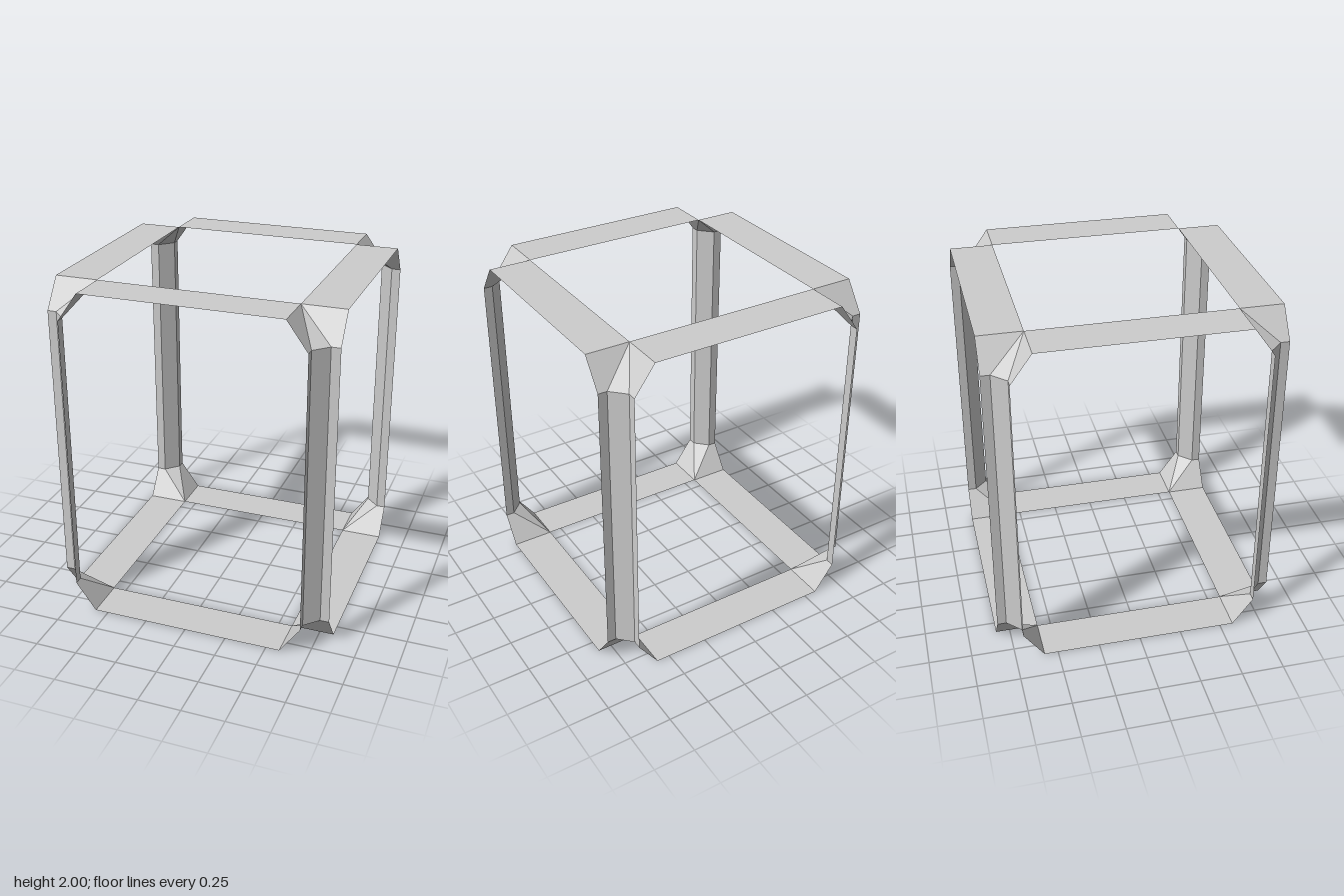
import * as THREE from 'three';

const OUT = 0.833, IN = 0.58;      // outer and inner edge of the flat frame strips
const NEAR = 0.70, FAR = 0.78;     // notch of the folded posts
const H = 2, GUSSET = 0.167;       // total height, height of the corner gussets

// Flat-shaded sheet from convex polygons, each a list of [x, y, z] corners
function sheet(name, polygons, material) {
  const pos = [];
  for (const p of polygons)
    for (let i = 1; i < p.length - 1; i++) pos.push(...p[0], ...p[i], ...p[i + 1]);
  const geometry = new THREE.BufferGeometry();
  geometry.setAttribute('position', new THREE.Float32BufferAttribute(pos, 3));
  geometry.computeVertexNormals();
  const mesh = new THREE.Mesh(geometry, material);
  mesh.name = name;
  return mesh;
}

// Mirror top polygons to the bottom, keeping the outside facing out
const flip = (polygons) =>
  polygons.map((p) => p.map(([x, y, z]) => [x, H - y, z]).reverse());

export function createModel() {
  const model = new THREE.Group();
  model.name = 'openFrame';
  const grey = new THREE.MeshStandardMaterial({ color: 0xcccccc, side: THREE.DoubleSide });
  grey.name = 'light grey';

  // Open post section at one corner, folded inwards
  const section = [[OUT, NEAR], [FAR, NEAR], [NEAR, FAR], [NEAR, OUT]];
  const low = section.map(([x, z]) => [x, GUSSET, z]);
  const high = section.map(([x, z]) => [x, H - GUSSET, z]);
  const post = [0, 1, 2].map((i) => [low[i + 1], low[i], high[i], high[i + 1]]);

  // Gusset from the post's end up to the strips
  const inner = [IN, H, IN];
  const gusset = [
    [high[1], high[0], [OUT, H, IN], inner],
    [high[2], high[1], inner],
    [high[3], high[2], inner, [IN, H, OUT]],
  ];

  // Flat strip along one side
  const strip = [[[-IN, H, IN], [-IN, H, OUT], [IN, H, OUT], [IN, H, IN]]];

  for (let i = 0; i < 4; i++) {
    const side = new THREE.Group();
    side.name = 'side' + (i + 1);
    side.add(
      sheet('post', post, grey),
      sheet('topGusset', gusset, grey),
      sheet('bottomGusset', flip(gusset), grey),
      sheet('topStrip', strip, grey),
      sheet('bottomStrip', flip(strip), grey),
    );
    side.rotation.y = (i * Math.PI) / 2;
    model.add(side);
  }
  return model;
}
